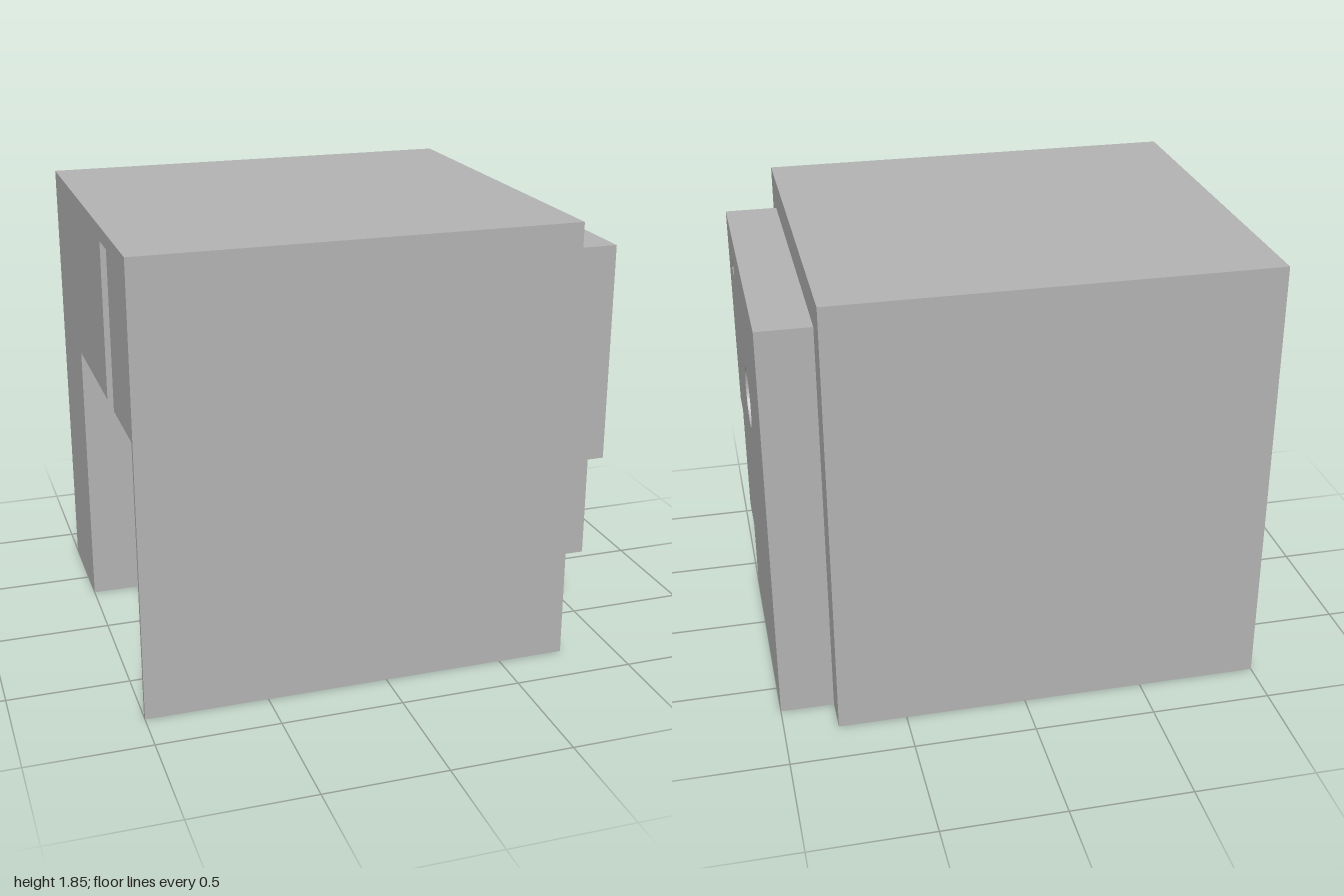
import * as THREE from 'three';
import { toCreasedNormals } from 'three/addons/utils/BufferGeometryUtils.js';

export function createModel() {
  const group = new THREE.Group();
  const grey = new THREE.MeshStandardMaterial({ color: 0xb2b2b2 });
  grey.name = 'plain grey';

  const add = (name, geometry) => {
    const mesh = new THREE.Mesh(geometry, grey);
    mesh.name = name;
    group.add(mesh);
    return mesh;
  };
  // Box given by its limits on each axis
  const box = (name, x0, x1, y0, y1, z0, z1) => {
    const g = new THREE.BoxGeometry(x1 - x0, y1 - y0, z1 - z0);
    g.translate((x0 + x1) / 2, (y0 + y1) / 2, (z0 + z1) / 2);
    return add(name, g);
  };
  const extrude = (shape, depth) => toCreasedNormals(
    new THREE.ExtrudeGeometry(shape, { depth, bevelEnabled: false, curveSegments: 32 }), 0.6);
  const outline = (pts) => new THREE.Shape(pts.map(([a, b]) => new THREE.Vector2(a, b)));
  // Floor plan of [x, z] points raised from y0 to y1
  const plan = (name, pts, y0, y1) => {
    const g = extrude(outline(pts.map(([x, z]) => [x, -z])), y1 - y0);
    g.rotateX(-Math.PI / 2);
    g.translate(0, y0, 0);
    return add(name, g);
  };
  // Points along a circular arc in plan
  const arc = (cx, cz, r, from, to, n = 16) => Array.from({ length: n + 1 }, (_, i) => {
    const a = from + (to - from) * i / n;
    return [cx + r * Math.cos(a), cz + r * Math.sin(a)];
  });

  // Housing top and back
  box('topWall', -0.65, 0.78, 1.71, 1.85, -0.81, 0.81);
  box('backWall', -0.65, 0.78, 0, 1.71, -0.81, -0.66);

  // Upper block on the open side, with a round-ended vertical slot
  plan('slottedBlock', [
    [-1, -0.81], [-0.63, -0.81], [-0.63, 0.81], [-1, 0.81], [-1, 0.44],
    ...arc(-0.9, 0.37, 0.07, Math.PI / 2, -Math.PI / 2), [-1, 0.3],
  ], 1.15, 1.79);
  box('slotCap', -1, -0.65, 1.79, 1.85, -0.81, 0.81);

  // Corner post and inner partition
  box('cornerPost', -1, -0.63, 0, 1.15, -0.81, -0.335);
  box('partition', -0.65, -0.63, 0, 1.15, -0.66, 0.34);

  // Front wall, stepped inside, with a half-round groove near the bottom
  const frontPlan = (groove) => [
    [-1, 0.81], [-1, 0.79], [-0.63, 0.79], [-0.63, 0.75], [-0.21, 0.75], [-0.21, 0.67],
    ...(groove ? arc(0.22, 0.67, 0.06, Math.PI, 0) : []),
    [0.78, 0.67], [0.78, 0.81],
  ];
  plan('groovedFrontWall', frontPlan(true), 0, 0.45);
  plan('frontWall', frontPlan(false), 0.45, 1.15);
  box('upperFrontWall', -0.63, 0.78, 1.15, 1.71, 0.67, 0.81);

  // Side plate with a stepped lower corner, in layers to give recess depths
  const plateLayer = (name, x0, x1, holeRadius, marker) => {
    const s = outline([
      [0.66, 0], [0.66, 1.71], [-0.67, 1.71], [-0.67, 0.8],
      [-0.54, 0.8], [-0.54, 0.31], [-0.34, 0.31], [-0.34, 0],
    ]);
    if (holeRadius) s.holes.push(new THREE.Path().absarc(0, 1.13, holeRadius, 0, Math.PI * 2, true));
    if (marker) {
      s.holes.push(new THREE.Path([[-0.48, 1.525], [-0.39, 1.61], [-0.38, 1.51]]
        .map(([a, b]) => new THREE.Vector2(a, b))));
    }
    const g = extrude(s, x1 - x0);
    g.rotateY(Math.PI / 2);
    g.translate(x0, 0, 0);
    return add(name, g);
  };
  plateLayer('plateBack', 0.78, 0.83, 0, false);
  plateLayer('plateMiddle', 0.83, 0.96, 0.125, false);
  plateLayer('plateFace', 0.96, 1, 0.128, true);

  return group;
}
